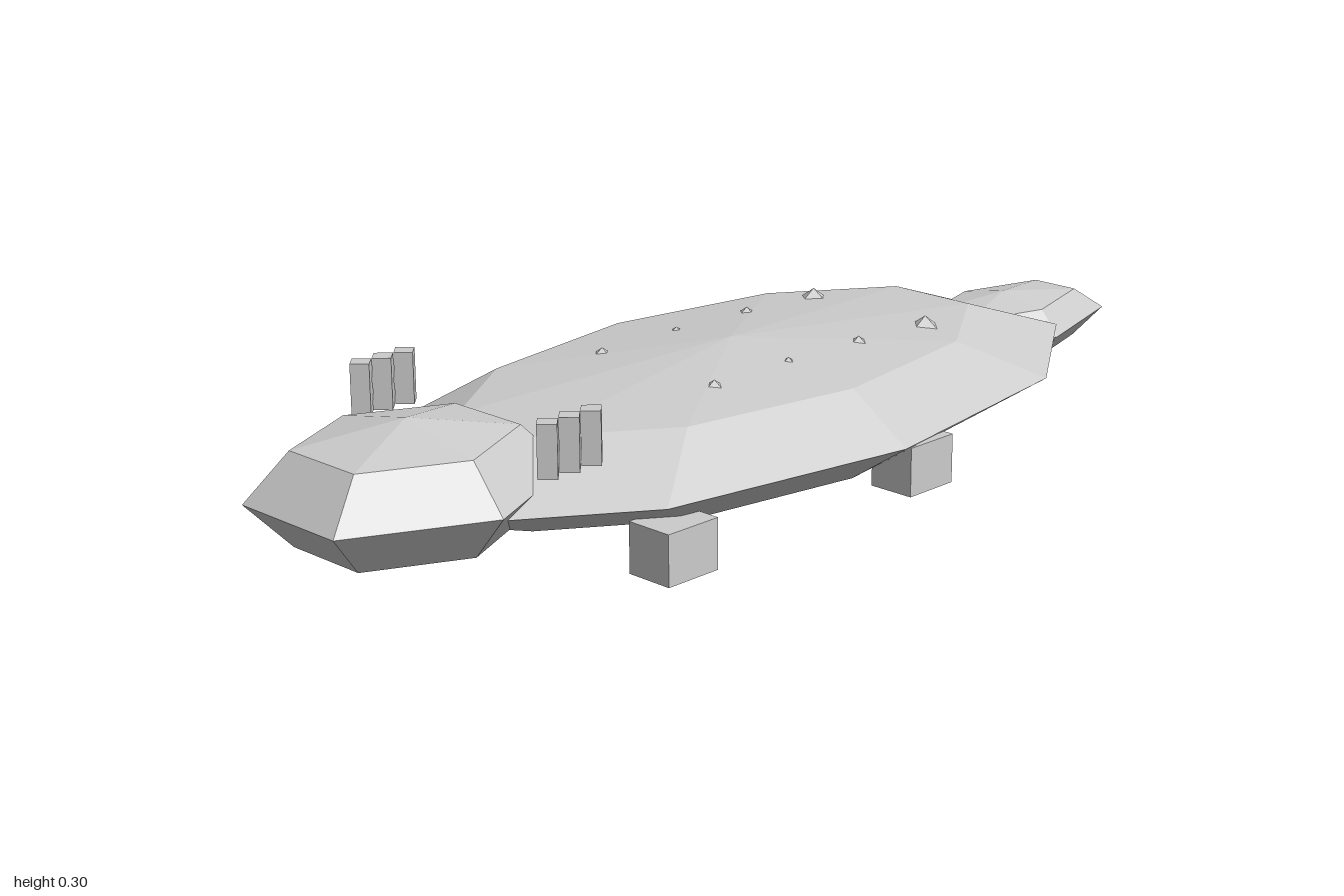
import * as THREE from 'three';

const material = new THREE.MeshStandardMaterial({ color: 0xcccccc, flatShading: true });

function add(parent, name, geometry, x, y, z) {
  const mesh = new THREE.Mesh(geometry, material);
  mesh.name = name;
  mesh.position.set(x, y, z);
  parent.add(mesh);
  return mesh;
}

// Faceted ellipsoid with four bands
function ellipsoid(sides, rx, ry, rz) {
  return new THREE.SphereGeometry(1, sides, 4).scale(rx, ry, rz);
}

export function createModel() {
  const model = new THREE.Group();
  model.name = 'lowPolyCreature';

  // Body, head and tail
  add(model, 'body', ellipsoid(10, 0.413, 0.115, 0.83), 0, 0.14, 0.02);
  add(model, 'head', ellipsoid(6, 0.23, 0.114, 0.277), 0, 0.163, 0.76);
  add(model, 'tail', ellipsoid(6, 0.138, 0.068, 0.277), 0, 0.118, -0.76);

  const legGeometry = new THREE.BoxGeometry(0.091, 0.091, 0.113);
  const postGeometry = new THREE.CylinderGeometry(0.023, 0.023, 0.091, 4);
  const spikeGeometry = new THREE.ConeGeometry(0.029, 0.02, 4);

  for (const side of [1, -1]) {
    const label = side > 0 ? 'left' : 'right';

    // Block legs
    add(model, label + 'FrontLeg', legGeometry, side * 0.278, 0.0455, 0.44);
    add(model, label + 'BackLeg', legGeometry, side * 0.278, 0.0455, -0.157);

    // Row of three upright posts behind the head
    for (let i = 0; i < 3; i++) {
      add(model, label + 'Post' + (i + 1), postGeometry, side * 0.231, 0.2555, 0.574 + i * 0.0465);
    }

    // Small spikes along the back, partly sunk into it
    for (let i = 0; i < 4; i++) {
      add(model, label + 'BackSpike' + (i + 1), spikeGeometry, side * 0.139, 0.235, 0.203 - i * 0.185);
    }
  }
  return model;
}
